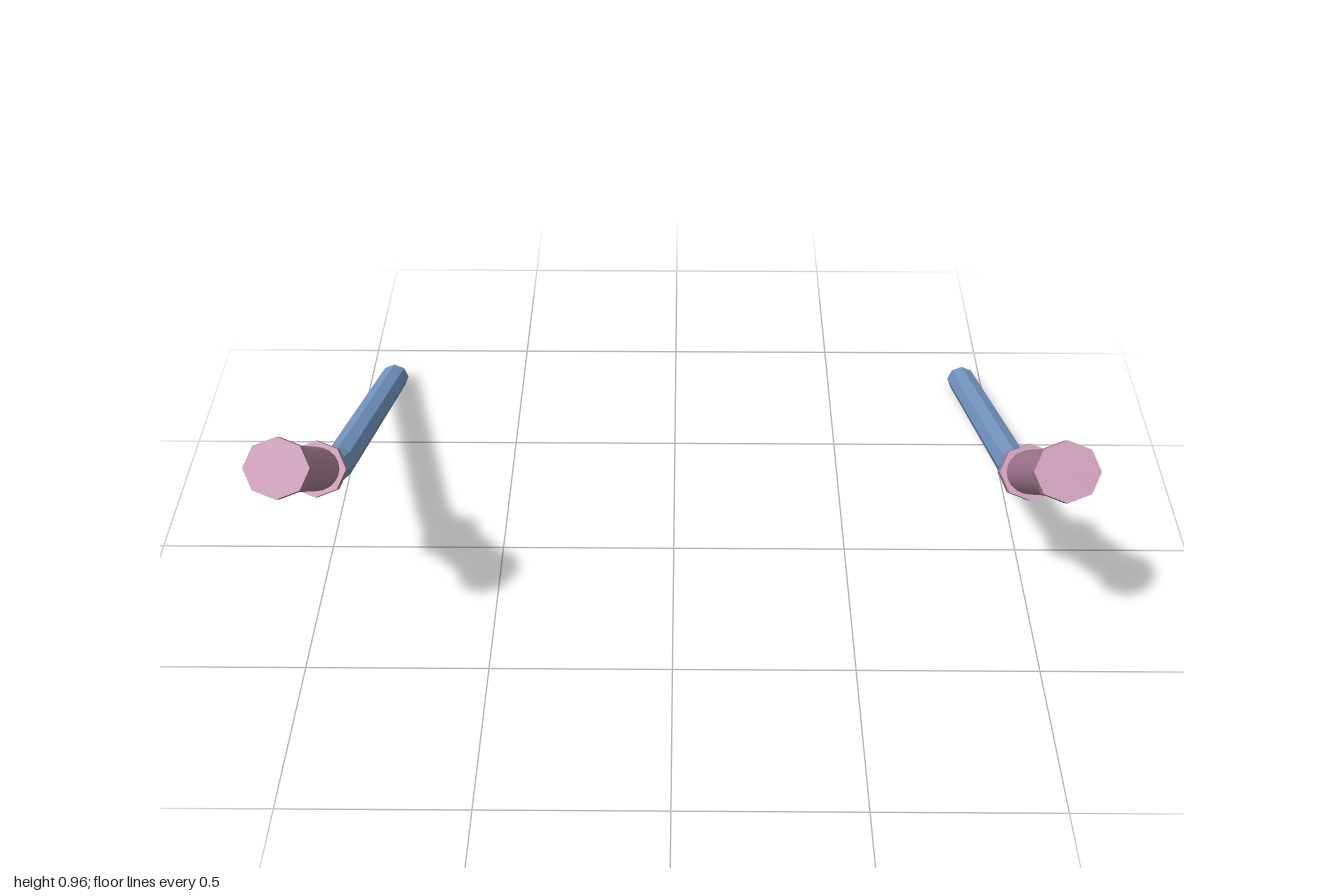
import * as THREE from 'three';

const pink = new THREE.MeshStandardMaterial({ color: 0xc08fab, flatShading: true });
const pinkSmooth = new THREE.MeshStandardMaterial({ color: 0xc08fab });
const blue = new THREE.MeshStandardMaterial({ color: 0x7ea6d4, flatShading: true });

// Octagonal bar lofted along stations [z, y, tilt of the section's normal]
function barGeometry(stations, radius, sides = 8) {
  const pos = [], index = [];
  for (const [z, y, tilt] of stations) {
    for (let i = 0; i < sides; i++) {
      const a = (i / sides) * Math.PI * 2;
      const up = Math.cos(a) * radius;
      pos.push(Math.sin(a) * radius, y + up * Math.cos(tilt), z - up * Math.sin(tilt));
    }
  }
  const last = stations.length - 1;
  for (let s = 0; s < last; s++) {
    for (let i = 0; i < sides; i++) {
      const j = (i + 1) % sides, a = s * sides, b = a + sides;
      index.push(a + i, b + i, b + j, a + i, b + j, a + j);
    }
  }
  // end caps
  for (let i = 1; i < sides - 1; i++) {
    index.push(0, i, i + 1);
    index.push(last * sides, last * sides + i + 1, last * sides + i);
  }
  const g = new THREE.BufferGeometry();
  g.setAttribute('position', new THREE.Float32BufferAttribute(pos, 3));
  g.setIndex(index);
  g.computeVertexNormals();
  return g;
}

function named(name, geometry, material) {
  const mesh = new THREE.Mesh(geometry, material);
  mesh.name = name;
  return mesh;
}

// Grip along local y, from its inner end at 0 to its outer end
function makeGrip() {
  const grip = new THREE.Group();
  grip.name = 'grip';
  const length = 0.505;
  const barrel = named('gripBarrel', new THREE.CylinderGeometry(0.062, 0.062, length - 0.04, 20), pinkSmooth);
  barrel.position.y = length / 2;
  grip.add(barrel);
  for (const [name, y, h] of [['innerFlange', 0.018, 0.036], ['outerFlange', length - 0.022, 0.044]]) {
    const flange = named(name, new THREE.CylinderGeometry(0.079, 0.079, h, 8), pink);
    flange.position.y = y;
    grip.add(flange);
  }
  grip.scale.z = 0.93;
  return grip;
}

export function createModel() {
  const model = new THREE.Group();
  model.name = 'handlebars';
  const bar = barGeometry([
    [-0.793, 0.044, 0.15],
    [0.15, 0.437, 0.45],
    [0.28, 0.512, 0.6],
    [0.44, 0.645, 0.68],
  ], 0.0435);

  for (const [side, x] of [['right', -0.921], ['left', 0.921]]) {
    const handle = new THREE.Group();
    handle.name = side + 'Handle';
    handle.position.x = x;
    const rod = named('bar', bar, blue);
    rod.position.x = 0.007;
    const grip = makeGrip();
    grip.position.set(0, 0.585, 0.362);
    grip.rotation.x = THREE.MathUtils.degToRad(51);
    handle.add(rod, grip);
    model.add(handle);
  }
  return model;
}
